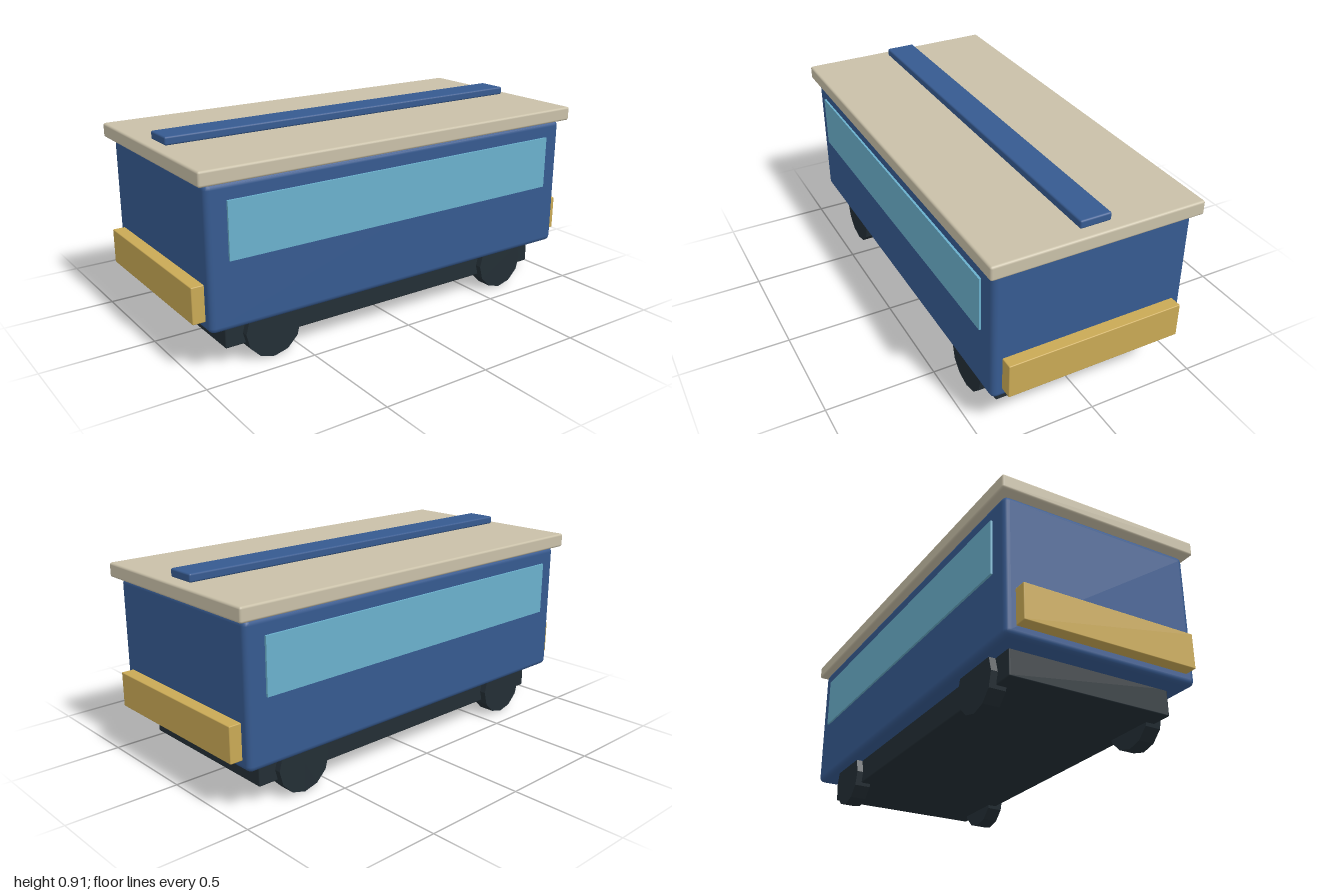
import * as THREE from 'three';
import { RoundedBoxGeometry } from 'three/addons/geometries/RoundedBoxGeometry.js';

const material = (name, color) => {
  const m = new THREE.MeshStandardMaterial({ color });
  m.name = name;
  return m;
};

export function createModel() {
  const blue = material('body blue', 0x365a90);
  const cream = material('roof cream', 0xc9c0a8);
  const gold = material('bumper gold', 0xc9a955);
  const glass = material('window glass', 0x6ab0cc);
  const dark = material('chassis dark', 0x232e35);
  dark.flatShading = false;

  const model = new THREE.Group();
  model.name = 'railCarriage';

  const add = (name, geometry, mat, x, y, z) => {
    const mesh = new THREE.Mesh(geometry, mat);
    mesh.name = name;
    mesh.position.set(x, y, z);
    model.add(mesh);
    return mesh;
  };
  // Box with softened edges
  const soft = (w, h, d, r) => new RoundedBoxGeometry(w, h, d, 2, r);

  // Carriage shell, overhanging roof and ridge strip
  add('body', soft(1.89, 0.615, 0.9, 0.025), blue, 0, 0.5, 0);
  add('roof', soft(1.96, 0.064, 0.955, 0.01), cream, 0, 0.84, 0);
  add('roofStrip', soft(1.85, 0.037, 0.14, 0.008), blue, 0, 0.892, 0);

  // Underframe
  add('chassis', soft(1.7, 0.125, 0.76, 0.006), dark, 0, 0.1425, 0);

  // Long window band on each side
  for (const side of [1, -1]) {
    add(side > 0 ? 'frontWindow' : 'backWindow',
      new THREE.BoxGeometry(1.71, 0.245, 0.0095), glass, 0, 0.612, side * 0.455);
  }

  // Bumper across each end
  for (const side of [1, -1]) {
    add(side > 0 ? 'leftBumper' : 'rightBumper',
      soft(0.06, 0.158, 0.81, 0.004), gold, side * 0.97, 0.315, 0);
  }

  // Four twelve-sided wheels, faceted by unshared vertices
  const wheel = new THREE.CylinderGeometry(0.13, 0.13, 0.075, 12).toNonIndexed();
  wheel.computeVertexNormals();
  wheel.rotateX(Math.PI / 2);
  for (const x of [-0.64, 0.64]) {
    for (const z of [-0.372, 0.372]) {
      add((z > 0 ? 'front' : 'back') + (x > 0 ? 'Left' : 'Right') + 'Wheel', wheel, dark, x, 0.13, z);
    }
  }
  return model;
}
